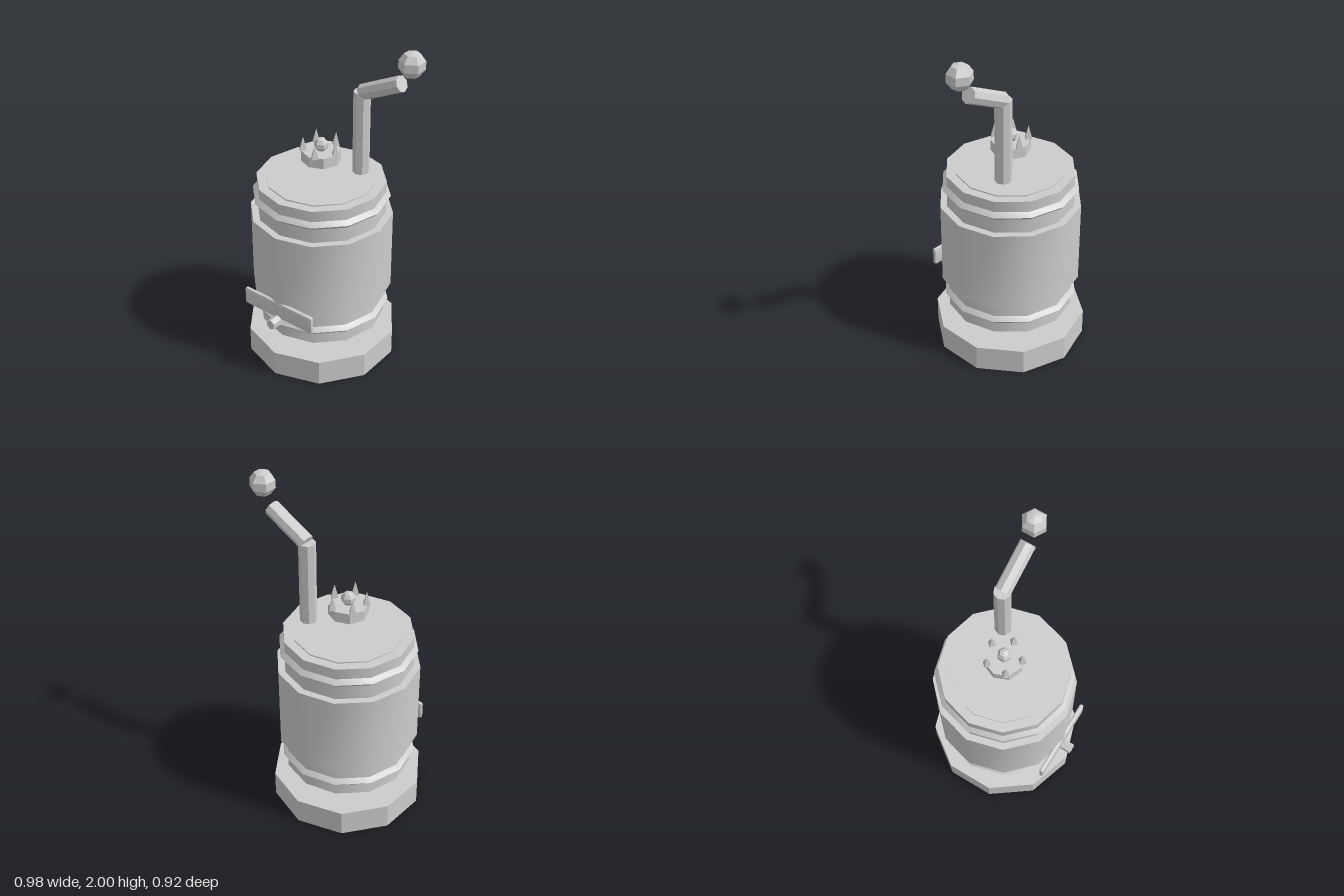
import * as THREE from 'three';
import { toCreasedNormals } from 'three/addons/utils/BufferGeometryUtils.js';
import { RoundedBoxGeometry } from 'three/addons/geometries/RoundedBoxGeometry.js';

const CX = -0.07, CZ = -0.015; // axis of the can

export function createModel() {
  const model = new THREE.Group();
  model.name = 'drinkCan';
  const grey = new THREE.MeshStandardMaterial({ color: 0xcccccc });
  grey.name = 'grey';

  const add = (name, geometry, x, y, z, crease = 0.4) => {
    const mesh = new THREE.Mesh(toCreasedNormals(geometry, crease), grey);
    mesh.name = name;
    mesh.position.set(x, y, z);
    model.add(mesh);
    return mesh;
  };
  // closed upright cylinder on the can axis, between two heights
  const drum = (name, r, y0, y1, sides, crease) =>
    add(name, new THREE.CylinderGeometry(r, r, y1 - y0, sides), CX, (y0 + y1) / 2, CZ, crease);

  // base and can: the twelve-sided drums are smooth around
  drum('base', 0.445, 0, 0.155, 10);
  drum('canWall', 0.37, 0.24, 1.135, 12, 0.6);
  drum('canSleeve', 0.41, 0.44, 0.935, 12, 0.6);
  drum('lid', 0.315, 1.125, 1.142, 12, 0.6);

  // ridged rings
  for (const [name, y] of [['lowerRing', 0.33], ['upperRing', 1.045]]) {
    const profile = [[0.345, 0], [0.37, -0.025], [0.395, 0], [0.37, 0.025], [0.345, 0]]
      .map(([r, h]) => new THREE.Vector2(r, h));
    add(name, new THREE.LatheGeometry(profile, 12), CX, y, CZ, 0.4);
  }

  // front plate and spout
  add('frontPlate', new RoundedBoxGeometry(0.49, 0.11, 0.025, 1, 0.011), CX, 0.44, 0.382);
  const spout = add('spout', new THREE.CylinderGeometry(0.031, 0.031, 0.105, 6), CX, 0.376, 0.405);
  spout.rotation.x = Math.PI / 2;

  // crown with five spikes and a gem
  drum('crownBand', 0.112, 1.25, 1.313, 8);
  for (let i = 0; i < 5; i++) {
    const a = i * Math.PI * 2 / 5;
    add('crownSpike', new THREE.ConeGeometry(0.027, 0.085, 4),
      CX + 0.1 * Math.cos(a), 1.351, CZ + 0.1 * Math.sin(a));
  }
  const ball = (name, r, x, y, z) => {
    const mesh = add(name, new THREE.SphereGeometry(r, 6, 5), x, y, z);
    mesh.rotation.y = Math.PI / 6;
  };
  ball('crownGem', 0.042, CX, 1.345, CZ);

  // bent straw with a ball above its tip
  const tube = (name, from, to, r) => {
    const a = new THREE.Vector3(...from), b = new THREE.Vector3(...to);
    const dir = b.clone().sub(a), mid = a.clone().add(b).multiplyScalar(0.5);
    const mesh = add(name, new THREE.CylinderGeometry(r, r, dir.length(), 8), mid.x, mid.y, mid.z);
    mesh.quaternion.setFromUnitVectors(new THREE.Vector3(0, 1, 0), dir.normalize());
  };
  tube('strawStem', [0.115, 1.185, -0.137], [0.115, 1.68, -0.137], 0.048);
  tube('strawTip', [0.119, 1.676, -0.137], [0.368, 1.8, -0.137], 0.046);
  ball('strawBall', 0.075, 0.426, 1.925, -0.138);

  return model;
}
